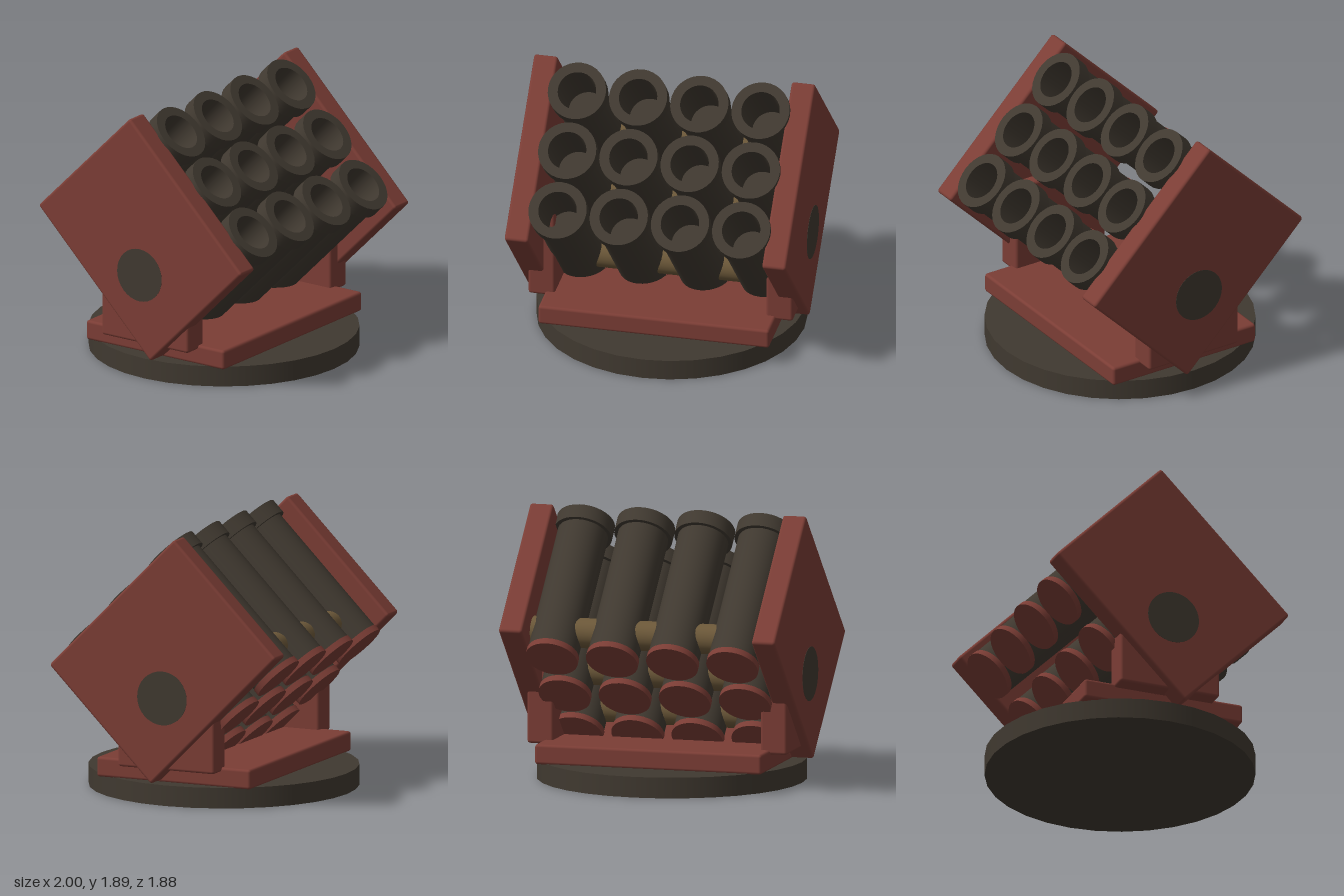
import * as THREE from 'three';
import { toCreasedNormals } from 'three/addons/utils/BufferGeometryUtils.js';
import { RoundedBoxGeometry } from 'three/addons/geometries/RoundedBoxGeometry.js';

export function createModel() {
  const red = new THREE.MeshStandardMaterial({ name: 'rust red paint', color: 0x7b3d35 });
  const dark = new THREE.MeshStandardMaterial({ name: 'dark gunmetal', color: 0x403930 });
  const brass = new THREE.MeshStandardMaterial({ name: 'dull brass', color: 0x6c5839 });

  const model = new THREE.Group();
  model.name = 'rocketLauncher';

  const add = (parent, name, geometry, material, x, y, z) => {
    const mesh = new THREE.Mesh(geometry, material);
    mesh.name = name;
    mesh.position.set(x, y, z);
    parent.add(mesh);
    return mesh;
  };

  // Turntable and mounting slab
  add(model, 'turntable', new THREE.CylinderGeometry(0.94, 0.94, 0.145, 32), dark, 0, 0.0725, 0);
  add(model, 'mountingSlab', new RoundedBoxGeometry(1.64, 0.14, 1.18, 2, 0.02), red, 0, 0.21, 0);

  // Uprights and pivot discs, mirrored
  const uprightGeo = new RoundedBoxGeometry(0.19, 0.67, 0.74, 2, 0.02);
  const pivotGeo = new THREE.CylinderGeometry(0.19, 0.19, 0.01, 32).rotateZ(Math.PI / 2);
  for (const side of [-1, 1]) {
    add(model, 'upright', uprightGeo, red, side * 0.845, 0.585, 0);
    add(model, 'pivotDisc', pivotGeo, dark, side * 0.997, 0.77, 0);
  }

  // Tilted launcher pack: local +z is the firing direction
  const pack = new THREE.Group();
  pack.name = 'launcherPack';
  pack.position.y = 1.025;
  pack.rotation.x = -Math.PI / 4;
  model.add(pack);

  const plateGeo = new RoundedBoxGeometry(0.17, 1.355, 1.105, 2, 0.02);
  for (const side of [-1, 1]) add(pack, 'sidePlate', plateGeo, red, side * 0.915, 0, 0);

  // Tube with muzzle collar and hollow bore
  const profile = [
    [0.178, -0.56], [0.178, 0.475], [0.205, 0.475], [0.205, 0.583],
    [0.135, 0.583], [0.135, 0.1], [0, 0.1],
  ].map(([r, h]) => new THREE.Vector2(r, h));
  const tubeGeo = toCreasedNormals(new THREE.LatheGeometry(profile, 32), Math.PI / 4).rotateX(Math.PI / 2);
  const capGeo = new THREE.CylinderGeometry(0.184, 0.184, 0.045, 32).rotateX(Math.PI / 2);
  const rodGeo = new THREE.CylinderGeometry(0.105, 0.105, 1.68, 24).rotateZ(Math.PI / 2);

  const pitch = 0.435;
  for (let row = -1; row <= 1; row++) {
    const y = row * pitch;
    add(pack, 'crossRod', rodGeo, brass, 0, y, -0.364);
    for (let col = 0; col < 4; col++) {
      const x = (col - 1.5) * pitch;
      add(pack, 'launchTube', tubeGeo, dark, x, y, 0);
      add(pack, 'tubeEndCap', capGeo, red, x, y, -0.575);
    }
  }
  return model;
}
